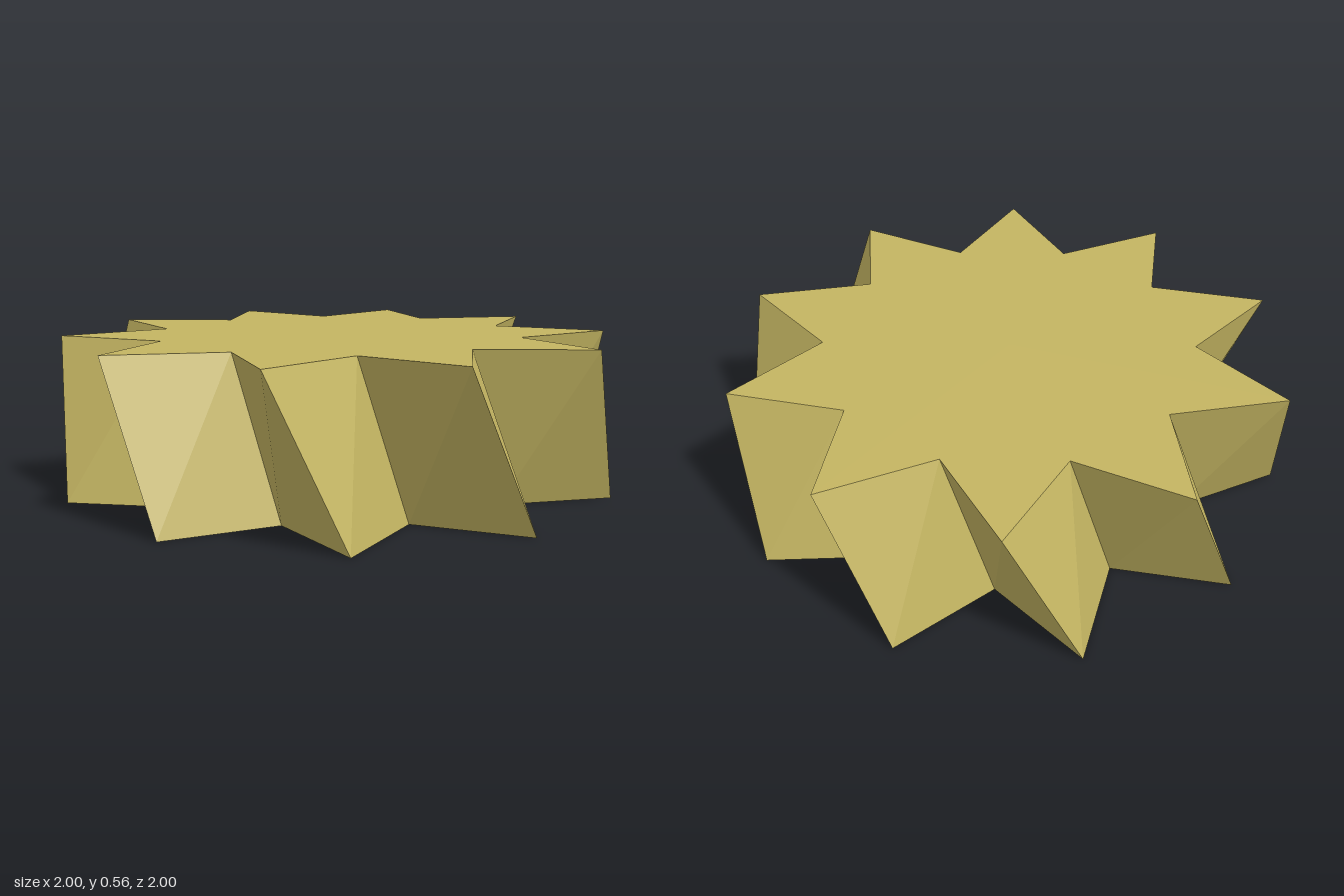
import * as THREE from 'three';

const TIPS = 10, OUTER = 1, INNER = 0.667, HEIGHT = 0.555;
const TWIST = THREE.MathUtils.degToRad(15);

// Star outline at height y, alternating tips and valleys
function starRing(y, turn) {
  return Array.from({ length: TIPS * 2 }, (_, i) => {
    const a = (i * Math.PI) / TIPS + turn;
    const r = i % 2 ? INNER : OUTER;
    return new THREE.Vector3(r * Math.cos(a), y, r * Math.sin(a));
  });
}

function fromTriangles(points) {
  const geometry = new THREE.BufferGeometry().setFromPoints(points);
  geometry.computeVertexNormals();
  return geometry;
}

export function createModel() {
  const khaki = new THREE.MeshStandardMaterial({ color: 0xc4b562 });
  khaki.name = 'khaki';

  const bottom = starRing(0, 0);
  const top = starRing(HEIGHT, TWIST);
  const bottomCentre = new THREE.Vector3(0, 0, 0);
  const topCentre = new THREE.Vector3(0, HEIGHT, 0);

  const walls = [], topFace = [], bottomFace = [];
  for (let i = 0; i < top.length; i++) {
    const n = (i + 1) % top.length;
    // Slanted tooth wall, split along its short diagonal
    walls.push(bottom[i], top[i], bottom[n], top[i], top[n], bottom[n]);
    topFace.push(topCentre, top[n], top[i]);
    bottomFace.push(bottomCentre, bottom[i], bottom[n]);
  }

  const group = new THREE.Group();
  group.name = 'twistedGear';
  for (const [name, points] of Object.entries({ toothWalls: walls, topFace, bottomFace })) {
    const mesh = new THREE.Mesh(fromTriangles(points), khaki);
    mesh.name = name;
    group.add(mesh);
  }
  return group;
}
